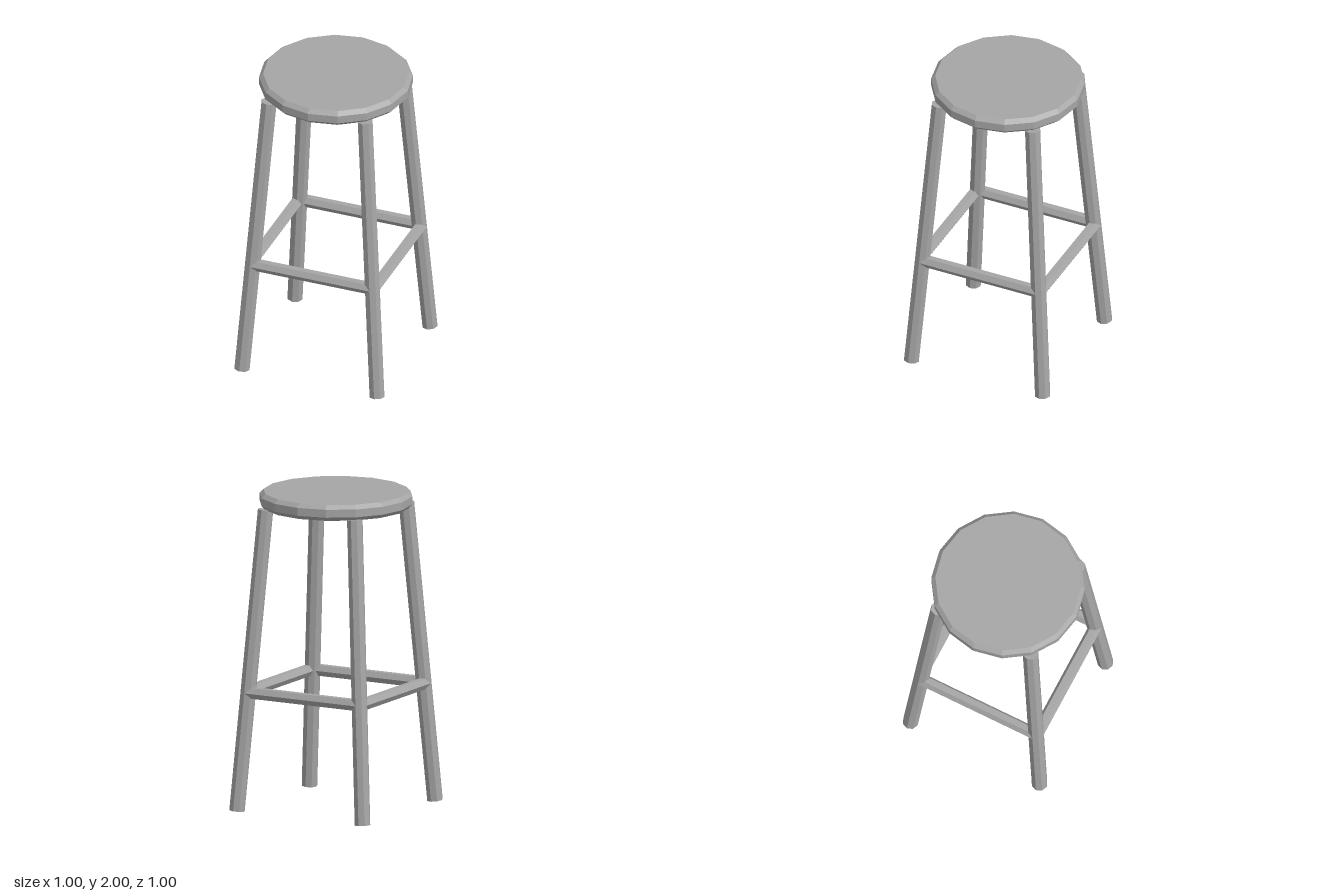
import * as THREE from 'three';

export function createModel() {
  const model = new THREE.Group();
  const grey = new THREE.MeshStandardMaterial({ color: 0xa6a6a6, flatShading: true });
  grey.name = 'plain grey';

  // Round seat with chamfered rims
  const profile = [[0, 1.9], [0.453, 1.9], [0.478, 1.925], [0.478, 1.975], [0.453, 2], [0, 2]]
    .map(([r, y]) => new THREE.Vector2(r, y));
  const seat = new THREE.Mesh(new THREE.LatheGeometry(profile, 16), grey);
  seat.name = 'seat';
  model.add(seat);

  // Straight bar with flat ends between two points
  function bar(name, from, to, radius, sides) {
    const dir = to.clone().sub(from);
    const mesh = new THREE.Mesh(new THREE.CylinderGeometry(radius, radius, dir.length(), sides), grey);
    mesh.position.copy(from).add(to).multiplyScalar(0.5);
    mesh.quaternion.setFromUnitVectors(new THREE.Vector3(0, 1, 0), dir.normalize());
    mesh.name = name;
    return mesh;
  }

  // Four splayed octagonal legs
  for (const sx of [1, -1]) {
    for (const sz of [1, -1]) {
      const foot = new THREE.Vector3(0.45 * sx, 0.005, 0.45 * sz);
      const top = new THREE.Vector3(0.32 * sx, 1.905, 0.32 * sz);
      const name = (sz > 0 ? 'front' : 'back') + (sx > 0 ? 'Left' : 'Right') + 'Leg';
      model.add(bar(name, foot, top, 0.05, 8));
    }
  }

  // Four hexagonal footrest rails, flat side up
  ['front', 'left', 'back', 'right'].forEach((side, i) => {
    const rail = new THREE.Group();
    rail.name = side + 'Rail';
    rail.add(bar(side + 'RailBar', new THREE.Vector3(-0.4, 0.753, 0.411),
      new THREE.Vector3(0.4, 0.753, 0.411), 0.039, 6));
    rail.rotation.y = i * Math.PI / 2;
    model.add(rail);
  });

  return model;
}
